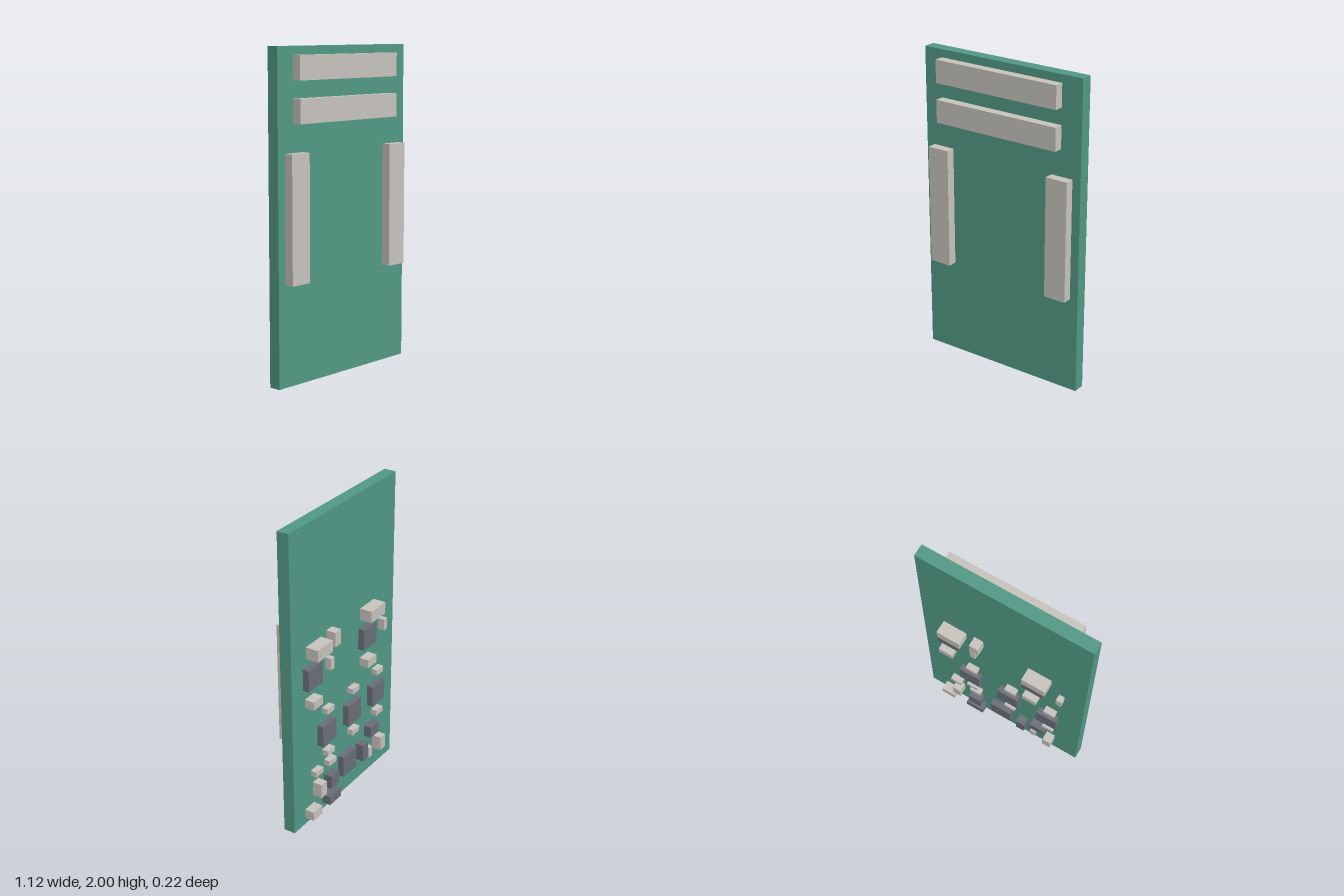
import * as THREE from 'three';

const BACK = -0.026, FRONT = 0.051; // board faces

export function createModel() {
  const model = new THREE.Group();
  model.name = 'circuitBoard';

  const make = (name, color) => {
    const m = new THREE.MeshStandardMaterial({ color });
    m.name = name;
    return m;
  };
  const green = make('boardGreen', 0x529a85);
  const grey = make('partGrey', 0xc8c4bd);
  const dark = make('chipDark', 0x6a6e78);

  // Box given by its extents on each axis
  const block = (name, material, x0, x1, y0, y1, z0, z1) => {
    const mesh = new THREE.Mesh(new THREE.BoxGeometry(x1 - x0, y1 - y0, z1 - z0), material);
    mesh.position.set((x0 + x1) / 2, (y0 + y1) / 2, (z0 + z1) / 2);
    mesh.name = name;
    model.add(mesh);
  };
  // Part soldered to the back, reaching out to z = -reach
  const rear = (name, material, x0, x1, y0, y1, reach) =>
    block(name, material, x0, x1, y0, y1, -reach, BACK);

  block('board', green, -0.5625, 0.5625, 0, 2, BACK, FRONT);

  // Front connectors: two across the top, one down each side
  for (const y of [1.555, 1.805])
    block('topConnector', grey, -0.438, 0.425, y, y + 0.145, FRONT, 0.11);
  for (const x of [-0.434, 0.434])
    block('sideConnector', grey, x - 0.073, x + 0.073, 0.617, 1.386, FRONT, 0.11);

  // Two regulator groups on the back
  rear('largeCapacitor', grey, 0.257, 0.414, 1.16, 1.237, 0.11);
  rear('largeCapacitor', grey, -0.331, -0.172, 1.16, 1.237, 0.11);
  for (const dx of [0, -0.602]) {
    rear('regulatorChip', dark, 0.302 + dx, 0.448 + dx, 0.962, 1.105, 0.068);
    rear('regulatorCapacitor', grey, 0.335 + dx, 0.431 + dx, 0.837, 0.893, 0.09);
    rear('regulatorResistor', grey, 0.176 + dx, 0.213 + dx, 1.0, 1.077, 0.068);
  }
  rear('tallCapacitor', grey, 0.139, 0.2, 1.157, 1.253, 0.09);

  // Three driver chips, each with a resistor above and below
  for (const dx of [0, -0.283, -0.566]) {
    rear('driverChip', dark, 0.158 + dx, 0.303 + dx, 0.502, 0.645, 0.068);
    for (const y of [0.407, 0.709])
      rear('driverResistor', grey, 0.176 + dx, 0.253 + dx, y, y + 0.037, 0.068);
  }

  // Controller chip and its neighbours at the bottom
  rear('controllerChip', dark, -0.073, 0.074, 0.152, 0.297, 0.068);
  rear('squareChip', dark, 0.147, 0.235, 0.158, 0.249, 0.082);
  rear('lowerChip', dark, 0.131, 0.255, 0.048, 0.108, 0.084);
  rear('uprightChip', dark, -0.19, -0.129, 0.162, 0.28, 0.084);
  rear('sideChip', dark, -0.333, -0.23, 0.285, 0.363, 0.079);

  for (const x of [0.157, 0.303])
    rear('lowerResistor', grey, x, x + 0.077, 0.323, 0.36, 0.068);
  rear('uprightResistor', grey, -0.265, -0.228, 0.128, 0.204, 0.068);
  rear('uprightCapacitor', grey, 0.3, 0.358, 0.165, 0.262, 0.09);
  rear('uprightCapacitor', grey, -0.393, -0.335, 0.137, 0.234, 0.09);
  rear('lowerCapacitor', grey, 0.35, 0.446, 0.048, 0.108, 0.09);

  return model;
}
